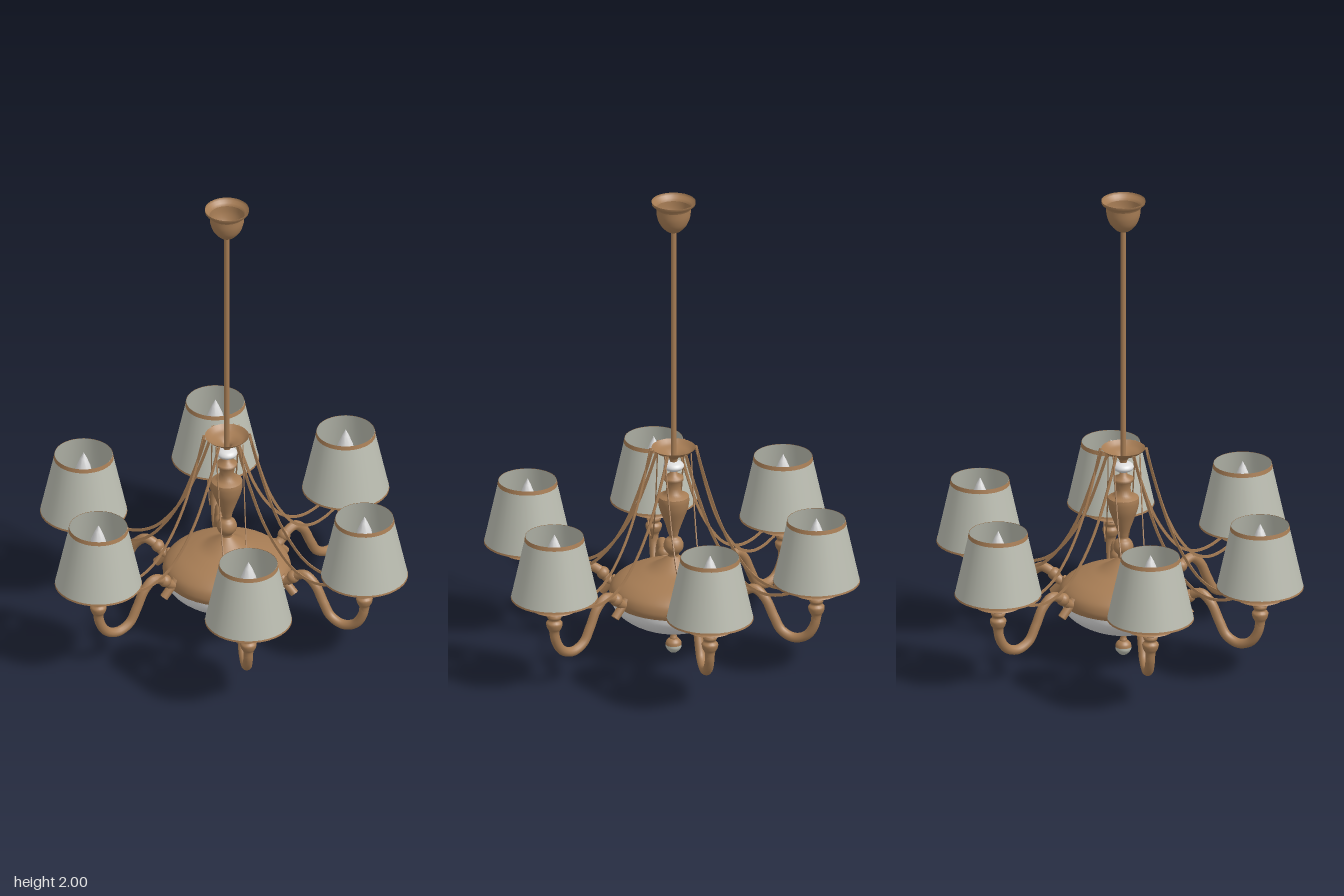
import * as THREE from 'three';

const mat = (name, color, side = THREE.DoubleSide) => {
  const m = new THREE.MeshStandardMaterial({ color, side });
  m.name = name;
  return m;
};

export function createModel() {
  const bronze = mat('bronze', 0xa67c54);
  const fabric = mat('shade fabric', 0xbabcb0);
  const glass = mat('white glass', 0xdcdcdc);

  const model = new THREE.Group();
  model.name = 'chandelier';

  const add = (parent, name, geometry, material) => {
    const mesh = new THREE.Mesh(geometry, material);
    mesh.name = name;
    parent.add(mesh);
    return mesh;
  };
  // Lathe from [radius, height] pairs, listed bottom to top
  const lathe = (parent, name, points, material, segments = 28) =>
    add(parent, name, new THREE.LatheGeometry(points.map(([r, y]) => new THREE.Vector2(r, y)), segments), material);
  // Same, with the profile rounded by a spline
  const turned = (parent, name, points, material, segments = 28) => {
    const curve = new THREE.SplineCurve(points.map(([r, y]) => new THREE.Vector2(r, y)));
    const smooth = curve.getPoints(points.length * 4).map(p => [Math.max(p.x, 0), p.y]);
    return lathe(parent, name, smooth, material, segments);
  };
  const path = pts => new THREE.CatmullRomCurve3(pts.map(([x, y]) => new THREE.Vector3(x, y, 0)));

  const body = new THREE.Group();
  body.name = 'body';
  body.position.z = -0.013;
  model.add(body);

  // Central bowl and the finial beneath it
  turned(body, 'glassBowl', [[0.02, 0.115], [0.07, 0.12], [0.14, 0.14], [0.205, 0.175], [0.245, 0.215], [0.254, 0.255]], glass, 40);
  turned(body, 'bowlCover', [[0.256, 0.25], [0.262, 0.275], [0.25, 0.31], [0.21, 0.34], [0.15, 0.362], [0.1, 0.378], [0.06, 0.402], [0.022, 0.43]], bronze, 40);
  turned(body, 'finialNeck', [[0.01, 0.055], [0.016, 0.066], [0.012, 0.08], [0.014, 0.092], [0.035, 0.108], [0.035, 0.12]], bronze);
  turned(body, 'finialCap', [[0.033, 0.038], [0.03, 0.052], [0.018, 0.064], [0, 0.068]], bronze);
  turned(body, 'finialBall', [[0, 0], [0.012, 0.004], [0.024, 0.014], [0.032, 0.027], [0.033, 0.038]], fabric);

  // Turned stem with bead and vase
  turned(body, 'stemBead', [[0.022, 0.425], [0.022, 0.44], [0.037, 0.46], [0.041, 0.48], [0.033, 0.502], [0.019, 0.515], [0.021, 0.53]], bronze);
  turned(body, 'vase', [[0.02, 0.528], [0.026, 0.55], [0.042, 0.595], [0.058, 0.64], [0.064, 0.675], [0.063, 0.695]], bronze);
  lathe(body, 'vaseNeck', [[0.063, 0.695], [0.05, 0.702], [0.033, 0.71], [0.029, 0.735], [0.032, 0.76], [0.041, 0.768], [0.041, 0.78], [0.02, 0.787], [0.012, 0.81]], bronze);
  turned(body, 'glassDisc', [[0.012, 0.806], [0.034, 0.815], [0.043, 0.828], [0.034, 0.842], [0.012, 0.85]], glass);
  turned(body, 'ribbonDish', [[0.014, 0.845], [0.02, 0.865], [0.042, 0.88], [0.07, 0.893], [0.09, 0.911]], bronze);

  // Hanging rod and open ceiling cup
  const rod = add(body, 'rod', new THREE.CylinderGeometry(0.0115, 0.0115, 1.1, 16), bronze);
  rod.position.y = 1.33;
  turned(body, 'ceilingCup', [[0.012, 1.865], [0.03, 1.872], [0.055, 1.9], [0.068, 1.935], [0.071, 1.97]], bronze);
  lathe(body, 'ceilingRim', [[0.071, 1.97], [0.076, 1.982], [0.089, 1.988], [0.09, 2]], bronze);

  const reach = 0.622;
  const armPath = path([
    [reach, 0.3], [0.616, 0.225], [0.58, 0.167], [0.525, 0.148], [0.47, 0.172],
    [0.435, 0.232], [0.4, 0.302], [0.355, 0.338], [0.31, 0.322], [0.275, 0.29], [0.235, 0.275]]);
  const armGeometry = new THREE.TubeGeometry(armPath, 56, 0.02, 12);

  // Flat ribbon following a sagging line
  const sag = path([[0.075, 0.908], [0.095, 0.835], [0.135, 0.71], [0.185, 0.58], [0.25, 0.465], [0.33, 0.375], [0.41, 0.34], [0.48, 0.344], [0.54, 0.366]]);
  const upper = [], lower = [];
  for (let i = 0; i <= 30; i++) {
    const p = sag.getPoint(i / 30), t = sag.getTangent(i / 30);
    upper.push(new THREE.Vector2(p.x - 0.075 - t.y * 0.006, p.y + t.x * 0.006));
    lower.unshift(new THREE.Vector2(p.x - 0.075 + t.y * 0.006, p.y - t.x * 0.006));
  }
  const ribbonGeometry = new THREE.ExtrudeGeometry(new THREE.Shape([...upper, ...lower]), { depth: 0.004, bevelEnabled: false });
  ribbonGeometry.translate(0, 0, -0.002);

  // Six slightly uneven arms, each with a lamp
  for (const degrees of [-125.6, -60.4, -5.1, 59.9, 115.9, 181.2]) {
    const arm = new THREE.Group();
    arm.name = 'arm';
    arm.rotation.y = -THREE.MathUtils.degToRad(degrees);
    body.add(arm);

    add(arm, 'curvedTube', armGeometry, bronze);
    const stub = add(arm, 'armStub', new THREE.CylinderGeometry(0.018, 0.018, 0.09, 12), bronze);
    stub.position.set(0.275, 0.268, 0);
    stub.rotation.z = 0.75;
    const bead = add(arm, 'armBead', new THREE.SphereGeometry(0.027, 14, 10), bronze);
    bead.position.set(0.3, 0.315, 0);

    // Ribbon pair from the dish to the drip saucer
    for (const s of [-1, 1]) {
      const ribbon = add(arm, 'ribbon', ribbonGeometry, bronze);
      ribbon.position.set(0.075, 0, s * 0.055);
      ribbon.rotation.y = s * 0.043;
    }

    const lamp = new THREE.Group();
    lamp.name = 'lamp';
    lamp.position.x = reach;
    arm.add(lamp);
    turned(lamp, 'lampSocket', [[0.019, 0.245], [0.022, 0.265], [0.03, 0.28], [0.034, 0.3], [0.024, 0.314], [0.03, 0.328], [0.024, 0.345], [0.028, 0.352]], bronze, 18);
    lathe(lamp, 'dripSaucer', [[0.024, 0.345], [0.05, 0.35], [0.075, 0.358], [0.098, 0.369], [0.07, 0.366], [0, 0.36]], bronze);
    lathe(lamp, 'candleTube', [[0.028, 0.355], [0.028, 0.53], [0, 0.53]], bronze, 16);
    lathe(lamp, 'bulb', [[0.016, 0.53], [0.032, 0.555], [0.038, 0.585], [0.03, 0.625], [0.014, 0.665], [0, 0.692]], glass, 8);

    // Tapered shade with trim bands
    lathe(lamp, 'shade', [[0.177, 0.414], [0.118, 0.684]], fabric, 36);
    lathe(lamp, 'topTrim', [[0.1225, 0.668], [0.119, 0.685]], bronze, 36);
    lathe(lamp, 'bottomTrim', [[0.178, 0.413], [0.1765, 0.421]], bronze, 36);
  }
  return model;
}
